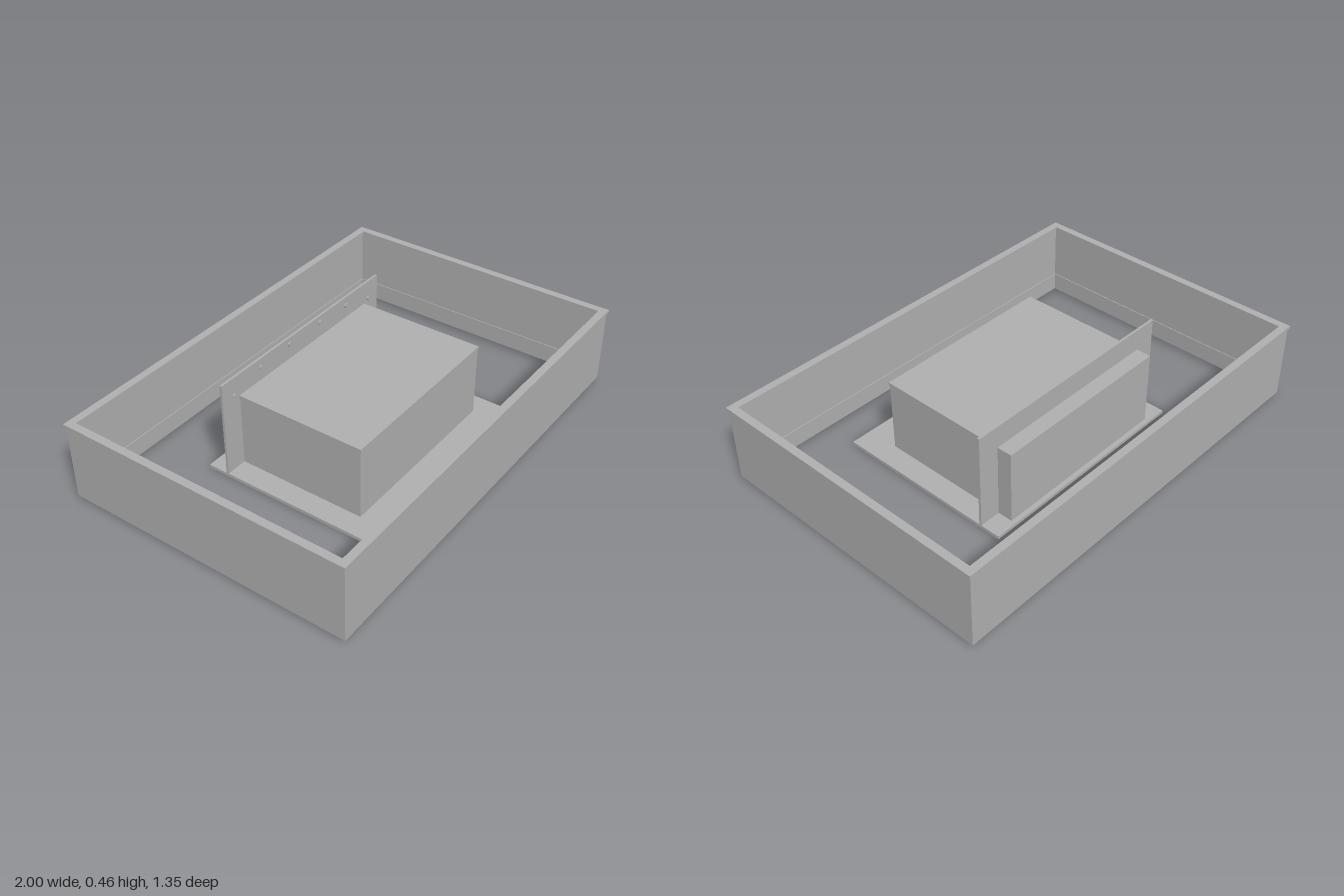
import * as THREE from 'three';

export function createModel() {
  const model = new THREE.Group();
  const grey = new THREE.MeshStandardMaterial({ color: 0xb0b0b0 });
  grey.name = 'plain grey';

  const add = (name, geometry) => {
    const mesh = new THREE.Mesh(geometry, grey);
    mesh.name = name;
    model.add(mesh);
    return mesh;
  };

  // Box given by its lower and upper limits on each axis
  const block = (name, [x0, x1], [y0, y1], [z0, z1]) => {
    const mesh = add(name, new THREE.BoxGeometry(x1 - x0, y1 - y0, z1 - z0));
    mesh.position.set((x0 + x1) / 2, (y0 + y1) / 2, (z0 + z1) / 2);
    return mesh;
  };

  // Rectangular ring with half sizes hx, hz and an inward width
  const ring = (name, hx, hz, width, y0, y1) => {
    const rect = (Type, a, b) => {
      const p = new Type();
      p.moveTo(-a, -b);
      p.lineTo(a, -b);
      p.lineTo(a, b);
      p.lineTo(-a, b);
      p.closePath();
      return p;
    };
    const shape = rect(THREE.Shape, hx, hz);
    shape.holes.push(rect(THREE.Path, hx - width, hz - width));
    const geometry = new THREE.ExtrudeGeometry(shape, { depth: y1 - y0, bevelEnabled: false });
    geometry.rotateX(-Math.PI / 2);
    geometry.translate(0, y0, 0);
    return add(name, geometry);
  };

  // Open outer frame: walls, slightly thicker lower band, overhanging top rim
  ring('frameWalls', 0.993, 0.67, 0.016, 0.1, 0.365);
  ring('frameLowerBand', 0.993, 0.67, 0.02, 0.015, 0.1);
  ring('frameRim', 1, 0.676, 0.035, 0.365, 0.378);

  // Base plate and upright mounting plate
  block('basePlate', [-0.535, 0.535], [0, 0.015], [-0.365, 0.492]);
  block('mountingPlate', [-0.535, 0.535], [0.015, 0.46], [-0.273, -0.262]);

  // Main housing with a lid, and the shallow housing behind the plate
  block('housing', [-0.433, 0.433], [0.015, 0.342], [-0.262, 0.337]);
  block('housingLid', [-0.436, 0.436], [0.342, 0.358], [-0.262, 0.34]);
  block('rearHousing', [-0.435, 0.435], [0.015, 0.358], [-0.343, -0.273]);

  // Small screw heads along the top of the mounting plate
  const screw = new THREE.CylinderGeometry(0.011, 0.011, 0.007, 12);
  screw.rotateX(Math.PI / 2);
  for (const side of [-1, 1]) {
    for (const [x, y] of [[0.105, 0.43], [0.295, 0.42], [0.465, 0.375]]) {
      add('screwHead', screw).position.set(side * x, y, -0.2585);
    }
  }

  return model;
}
